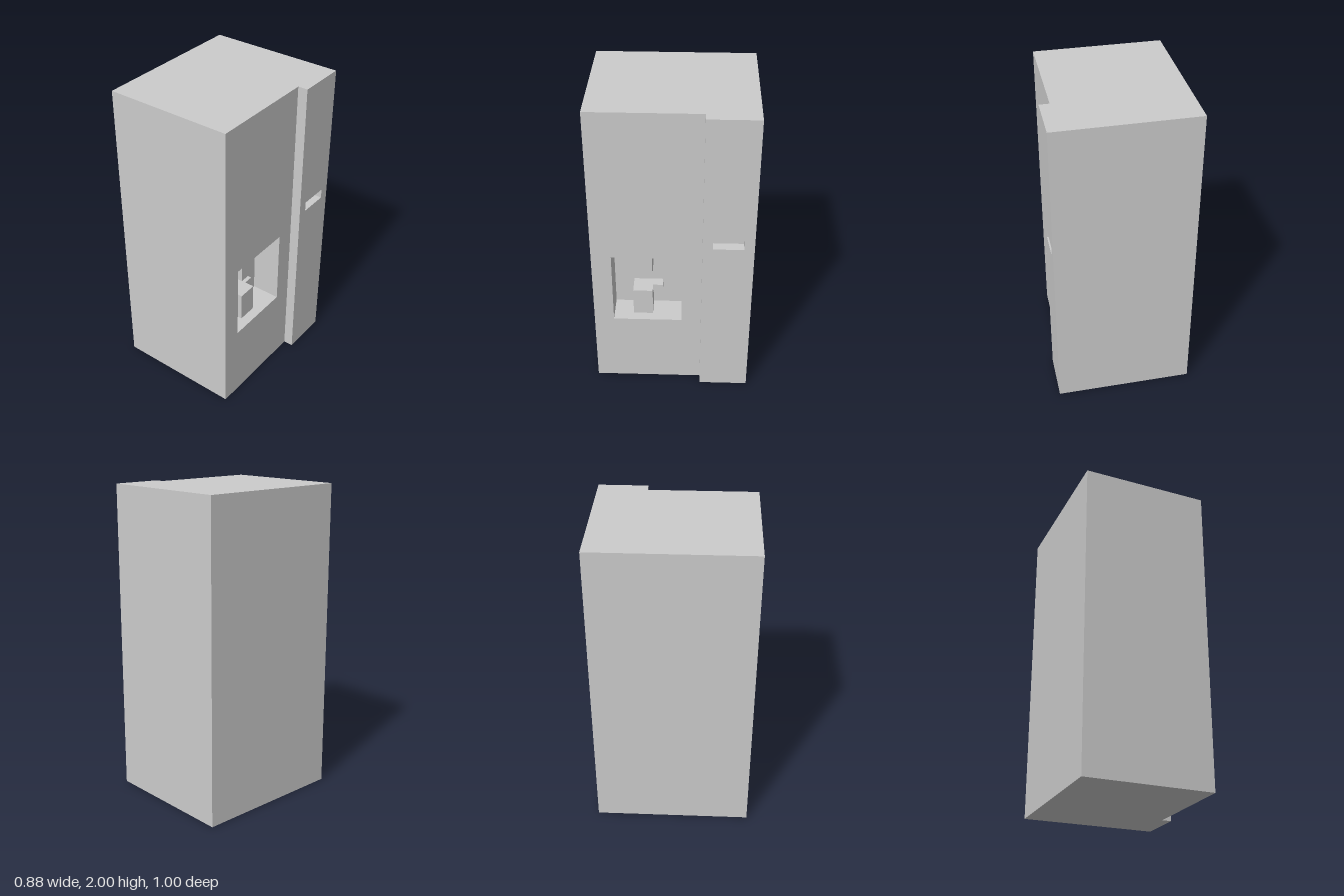
import * as THREE from 'three';

const material = new THREE.MeshStandardMaterial({ color: 0xcccccc, flatShading: true });

// Trace a rectangle given as [zMin, zMax, yMin, yMax]; the path's own x axis is -z
function trace(path, [z0, z1, y0, y1]) {
  path.moveTo(-z1, y0);
  path.lineTo(-z0, y0);
  path.lineTo(-z0, y1);
  path.lineTo(-z1, y1);
  path.closePath();
  return path;
}

// Upright layer from x0 to x1, optionally cut through by a rectangular opening
function layer(name, x0, x1, outline, opening) {
  const shape = trace(new THREE.Shape(), outline);
  if (opening) shape.holes.push(trace(new THREE.Path(), opening));
  const geometry = new THREE.ExtrudeGeometry(shape, { depth: x1 - x0, bevelEnabled: false });
  geometry.rotateY(Math.PI / 2);
  geometry.translate(x0, 0, 0);
  const mesh = new THREE.Mesh(geometry, material);
  mesh.name = name;
  return mesh;
}

export function createModel() {
  const group = new THREE.Group();
  group.name = 'cabinet';

  const full = [-0.5, 0.5, 0, 2];
  const alcove = [-0.0625, 0.375, 0.5, 1];

  group.add(
    // Cabinet body, layered towards the working side
    layer('body', -0.4375, 0.125, full),
    layer('alcoveBack', 0.125, 0.1875, full, [-0.0625, 0.375, 0.9375, 1]),
    layer('sidePanel', 0.1875, 0.375, full, alcove),
    // Raised strip with a shallow slot
    layer('raisedStrip', 0.375, 0.4375, [-0.5, -0.1875, 0, 2], [-0.4375, -0.25, 1.125, 1.1875]),
    // Fittings inside the alcove
    layer('spout', 0.1875, 0.3125, [0.125, 0.25, 0.8125, 1]),
    layer('stand', 0.1875, 0.3125, [0.125, 0.25, 0.5, 0.6875]),
    layer('lever', 0.1875, 0.25, [0.0625, 0.125, 0.625, 0.6875]),
  );
  return group;
}
